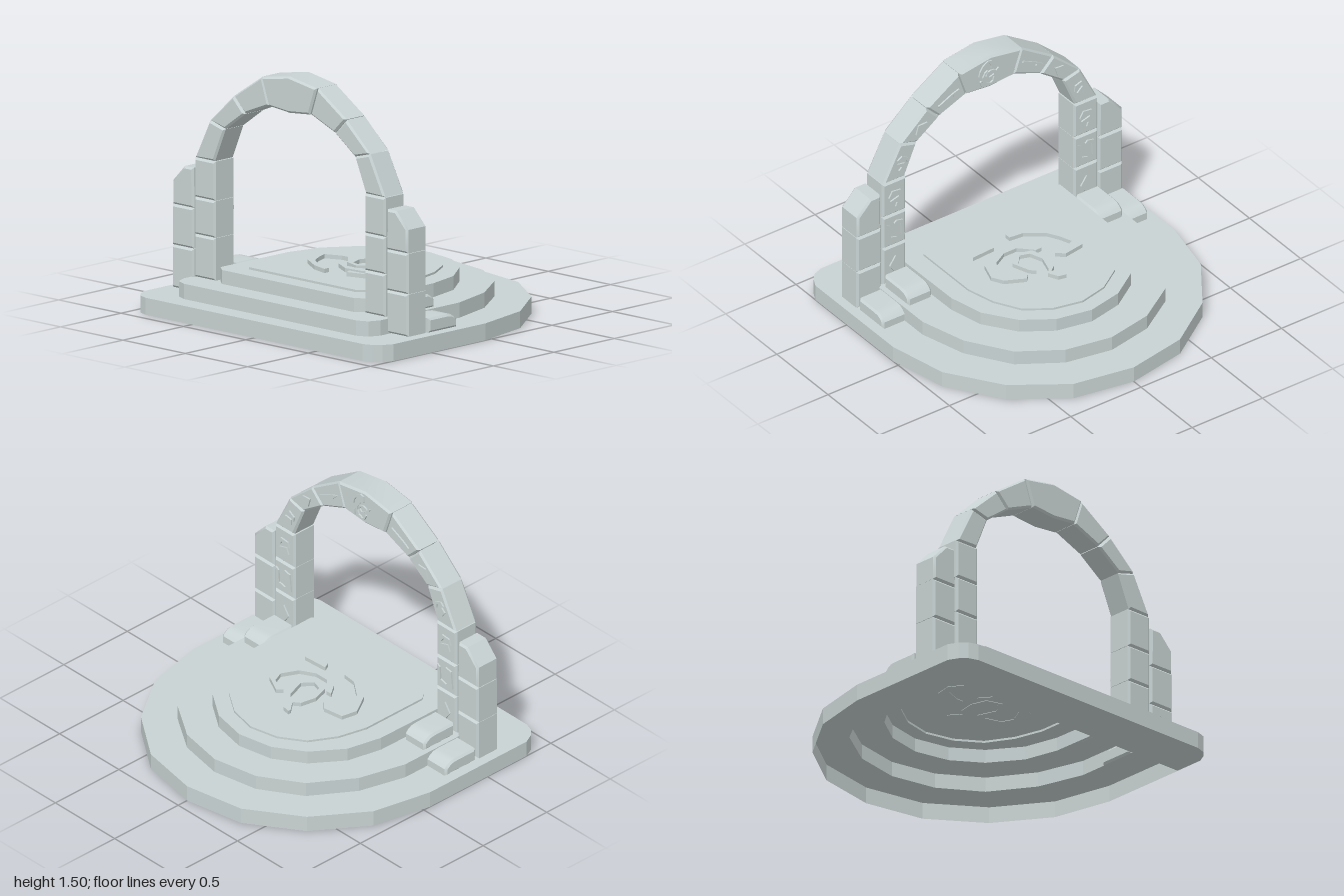
import * as THREE from 'three';
import { toCreasedNormals } from 'three/addons/utils/BufferGeometryUtils.js';

const stone = new THREE.MeshStandardMaterial({ color: 0xc9d3d3, side: THREE.DoubleSide });
stone.name = 'grey stone';

const toShape = (pts) => new THREE.Shape(pts.map(([x, y]) => new THREE.Vector2(x, y)));

// Closed plan outline from its half, mirrored across z = 0
function mirrorOutline(half) {
  const back = half.filter((p) => p[1] !== 0).map(([x, z]) => [x, -z]).reverse();
  return [...half, ...back];
}

// Half outlines (x, z) of the D-shaped steps, from back corner to front tip
const BASE = mirrorOutline([[-0.93, 0.87], [-0.91, 0.93], [-0.87, 0.97], [-0.81, 1], [-0.05, 1],
  [0.32, 0.92], [0.64, 0.7], [0.86, 0.38], [0.93, 0]]);
const MIDDLE = mirrorOutline([[-0.8, 0.69], [-0.77, 0.76], [-0.7, 0.79], [-0.05, 0.79],
  [0.24, 0.71], [0.5, 0.54], [0.66, 0.29], [0.715, 0]]);
const UPPER = mirrorOutline([[-0.65, 0.53], [-0.6, 0.59], [-0.05, 0.585], [0.165, 0.535],
  [0.355, 0.4], [0.475, 0.22], [0.52, 0]]);
const PLATE = mirrorOutline([[-0.53, 0.43], [-0.49, 0.465], [-0.05, 0.465], [0.13, 0.42],
  [0.29, 0.33], [0.39, 0.18], [0.43, 0]]);

// Carved emblem strokes in plan (x, z)
const EMBLEM = [
  [[-0.34, -0.01], [-0.31, -0.12], [-0.23, -0.25], [-0.1, -0.33], [0, -0.31], [0.02, -0.18],
    [-0.02, -0.13], [-0.02, -0.18], [-0.06, -0.28], [-0.14, -0.25], [-0.21, -0.21], [-0.29, -0.1], [-0.3, -0.01]],
  [[-0.11, -0.1], [-0.18, -0.05], [-0.24, 0.06], [-0.23, 0.18], [-0.16, 0.27], [-0.04, 0.31],
    [0.03, 0.27], [0.09, 0.15], [0.06, 0.12], [0.03, 0.22], [-0.04, 0.25], [-0.14, 0.2],
    [-0.19, 0.11], [-0.19, 0.02], [-0.11, -0.06]],
  [[-0.15, 0.06], [-0.12, -0.04], [-0.02, -0.07], [0.08, -0.05], [0.11, -0.01], [0.17, -0.06],
    [0.19, -0.06], [0.18, -0.01], [0.12, 0.02], [0.08, -0.01], [-0.02, -0.04], [-0.1, -0.01],
    [-0.12, 0.05], [-0.06, 0.1], [0.06, 0.06], [0.03, 0.09], [-0.08, 0.13]],
  [[-0.31, 0.14], [-0.27, 0.12], [-0.26, 0.28], [-0.28, 0.25]],
];

// Small rune strokes, about one unit across
const BRACKET = [[-0.05, -0.5], [-0.4, -0.42], [-0.5, 0.45], [-0.32, 0.34], [-0.28, -0.28], [0.08, -0.38]];
const RING = [BRACKET, BRACKET.map(([u, v]) => [-u, -v])];
const DIAMOND = [[[0, -0.5], [0.35, 0], [0, 0.5], [-0.35, 0]]];
const HOOK = [
  [[-0.4, 0.1], [-0.2, 0.45], [0.3, 0.4], [0.4, 0.1], [0.2, 0.25], [-0.1, 0.28], [-0.25, 0.05]],
  [[-0.3, -0.1], [0.2, 0.05], [0.35, -0.3], [0, -0.5], [0.1, -0.25]],
];
const ARROW = [[[-0.8, -0.06], [0.3, -0.06], [0.3, -0.2], [0.8, 0], [0.3, 0.06], [-0.8, 0.06]]];

function addMesh(parent, geometry, name) {
  const mesh = new THREE.Mesh(geometry, stone);
  mesh.name = name;
  parent.add(mesh);
}

// Flat face in plan with an optional opening
function planFace(outline, hole, y) {
  const flip = (pts) => pts.map(([x, z]) => [x, -z]);
  const shape = toShape(flip(outline));
  if (hole) shape.holes.push(toShape(flip(hole)));
  return new THREE.ShapeGeometry(shape).rotateX(-Math.PI / 2).translate(0, y, 0);
}

// Upright wall following an outline, with flat facets
function wall(outline, y0, y1) {
  const pos = [];
  outline.forEach(([ax, az], i) => {
    const [bx, bz] = outline[(i + 1) % outline.length];
    pos.push(ax, y0, az, bx, y0, bz, bx, y1, bz, ax, y0, az, bx, y1, bz, ax, y1, az);
  });
  const g = new THREE.BufferGeometry();
  g.setAttribute('position', new THREE.Float32BufferAttribute(pos, 3));
  g.computeVertexNormals();
  return g;
}

// Chamfered solid, its profile spanning the full given depth
function chamfered(pts, depth, bevel = 0.012) {
  const g = new THREE.ExtrudeGeometry(toShape(pts), {
    depth: depth - 2 * bevel, bevelEnabled: true, bevelThickness: bevel,
    bevelSize: bevel, bevelOffset: -bevel, bevelSegments: 1,
  });
  return toCreasedNormals(g.translate(0, 0, bevel), 0.55);
}

// Stone block: outline in (z, y), spanning x0 to x1
function block(pts, x0, x1) {
  return chamfered(pts.map(([z, y]) => [-z, y]), x1 - x0).rotateY(Math.PI / 2).translate(x0, 0, 0);
}

// Raised strokes on the +x side of a block
function rune(parent, strokes, [x, y, z], size, angle, name) {
  const shapes = strokes.map((s) => toShape(s.map(([u, v]) => [u * size, v * size])));
  const g = new THREE.ExtrudeGeometry(shapes, { depth: 0.012, bevelEnabled: false });
  addMesh(parent, g.rotateZ(angle).rotateY(Math.PI / 2).translate(x, y, z), name);
}

const rect = (z0, z1, y0, y1) => [[z0, y0], [z1, y0], [z1, y1], [z0, y1]];

export function createModel() {
  const model = new THREE.Group();
  model.name = 'stone gateway';

  // Stepped platform, hollow underneath
  const platform = new THREE.Group();
  platform.name = 'platform';
  model.add(platform);
  const tiers = [['base', BASE, MIDDLE, 0, 0.1], ['middleStep', MIDDLE, UPPER, 0.1, 0.19],
    ['upperStep', UPPER, PLATE, 0.19, 0.272], ['topPlate', PLATE, null, 0.272, 0.285]];
  for (const [name, outline, hole, y0, y1] of tiers) {
    addMesh(platform, wall(outline, y0, y1), name + 'Wall');
    addMesh(platform, planFace(outline, hole, y1), name + 'Top');
  }
  const strip = [[-0.62, -1], ...BASE.filter((p) => p[0] < -0.62 && p[1] < 0),
    ...BASE.filter((p) => p[0] < -0.62 && p[1] > 0), [-0.62, 1]];
  addMesh(platform, planFace(strip, null, 0.002), 'rearFloor');

  // Floor emblem
  const emblem = new THREE.ExtrudeGeometry(EMBLEM.map((s) => toShape(s.map(([x, z]) => [x, -z]))),
    { depth: 0.028, bevelEnabled: false });
  addMesh(platform, emblem.rotateX(-Math.PI / 2).translate(0, 0.282, 0), 'floorEmblem');

  // Arch stones in (z, y), one side
  const archStones = [
    rect(0.598, 0.765, 0.195, 0.445), rect(0.598, 0.765, 0.447, 0.664), rect(0.598, 0.765, 0.666, 0.897),
    [[0.76, 0.899], [0.605, 0.899], [0.52, 1.1], [0.642, 1.134]],
    [[0.64, 1.136], [0.518, 1.102], [0.361, 1.215], [0.452, 1.308]],
    [[0.45, 1.31], [0.359, 1.217], [0.167, 1.295], [0.223, 1.458]],
  ];
  const buttress = [rect(0.773, 0.945, 0.105, 0.354), rect(0.773, 0.945, 0.356, 0.594),
    [[0.773, 0.596], [0.943, 0.596], [0.943, 0.735], [0.85, 0.832], [0.778, 0.832]]];
  const runes = [[DIAMOND, 0.68, 0.315, 0.12, 0], [RING, 0.68, 0.555, 0.13, 0], [HOOK, 0.68, 0.78, 0.12, 0],
    [HOOK, 0.635, 1.005, 0.1, -0.45], [DIAMOND, 0.495, 1.19, 0.1, -0.9], [ARROW, 0.3, 1.325, 0.1, 0.45]];

  for (const side of [1, -1]) {
    const half = new THREE.Group();
    half.name = side > 0 ? 'frontPier' : 'rearPier';
    model.add(half);
    const mirror = (pts) => pts.map(([z, y]) => [z * side, y]);
    for (const pts of archStones) addMesh(half, block(mirror(pts), -0.64, -0.472), 'archStone');
    for (const pts of buttress) addMesh(half, block(mirror(pts), -0.638, -0.475), 'buttressStone');
    for (const [strokes, z, y, size, angle] of runes) {
      rune(half, strokes, [-0.474, y, z * side], size, angle * side, 'rune');
    }

    // Low stones with rounded-off front ends
    for (const [z0, z1, y] of [[0.775, 0.945, 0.1], [0.595, 0.765, 0.188]]) {
      const profile = [[-0.46, y], [-0.225, y], [-0.225, y + 0.045], [-0.245, y + 0.066],
        [-0.272, y + 0.081], [-0.31, y + 0.085], [-0.46, y + 0.085]];
      const stoneEnd = chamfered(profile, z1 - z0);
      addMesh(half, stoneEnd.translate(0, 0, side > 0 ? z0 : -z1), 'footStone');
    }
  }

  // Keystone with a small copy of the emblem
  const keystone = [[0.221, 1.458], [0, 1.495], [-0.221, 1.458], [-0.165, 1.295], [0, 1.28], [0.165, 1.295]];
  addMesh(model, block(keystone, -0.648, -0.466), 'keystone');
  rune(model, EMBLEM.map((s) => s.map(([x, z]) => [x, -z])), [-0.468, 1.385, 0], 0.27, 0, 'keystoneEmblem');
  return model;
}
